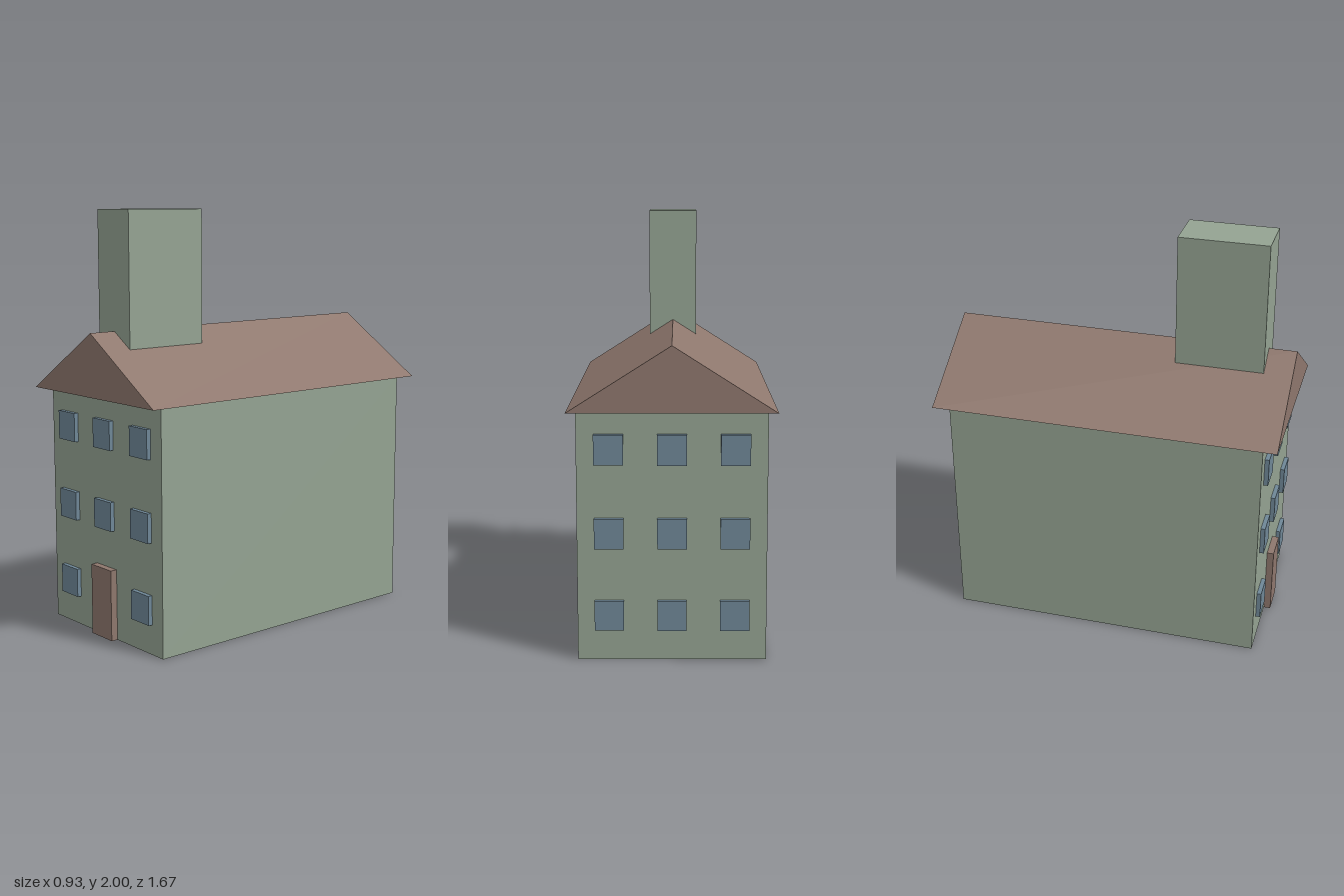
import * as THREE from 'three';

export function createModel() {
  const house = new THREE.Group();
  house.name = 'house';

  const mat = (name, color) => {
    const m = new THREE.MeshStandardMaterial({ color });
    m.name = name;
    return m;
  };
  const wallGreen = mat('wall green', 0x94a392);
  const roofBrown = mat('roof brown', 0x8e776d);
  const glassBlue = mat('window blue', 0x6f8797);

  const add = (name, geometry, material, x, y, z) => {
    const mesh = new THREE.Mesh(geometry, material);
    mesh.name = name;
    mesh.position.set(x, y, z);
    house.add(mesh);
    return mesh;
  };

  // Walls
  const halfDepth = 0.763;
  const eaves = 1.148;
  add('walls', new THREE.BoxGeometry(0.854, eaves, 2 * halfDepth), wallGreen, 0, eaves / 2, 0);

  // Gabled roof, overhanging on all sides
  const roofLength = 1.67;
  const gable = new THREE.Shape([
    new THREE.Vector2(-0.467, 0),
    new THREE.Vector2(0.467, 0),
    new THREE.Vector2(0, 0.297),
  ]);
  const roof = new THREE.ExtrudeGeometry(gable, { depth: roofLength, bevelEnabled: false });
  add('roof', roof, roofBrown, 0, eaves, -roofLength / 2);

  // Chimney rising through the ridge near the front
  add('chimney', new THREE.BoxGeometry(0.238, 0.8, 0.425), wallGreen, 0, 1.6, 0.487);

  // Door, in place of the lower middle window
  add('door', new THREE.BoxGeometry(0.156, 0.34, 0.034), roofBrown, 0, 0.17, halfDepth + 0.016);

  // Three rows of windows on the front and back
  const pane = new THREE.BoxGeometry(0.132, 0.138, 0.022);
  for (const side of [1, -1]) {
    for (const y of [0.211, 0.592, 0.974]) {
      for (const x of [-0.283, 0, 0.283]) {
        if (side === 1 && x === 0 && y < 0.3) continue;
        add(side === 1 ? 'frontWindow' : 'backWindow', pane, glassBlue, x, y, side * (halfDepth + 0.01));
      }
    }
  }

  return house;
}
